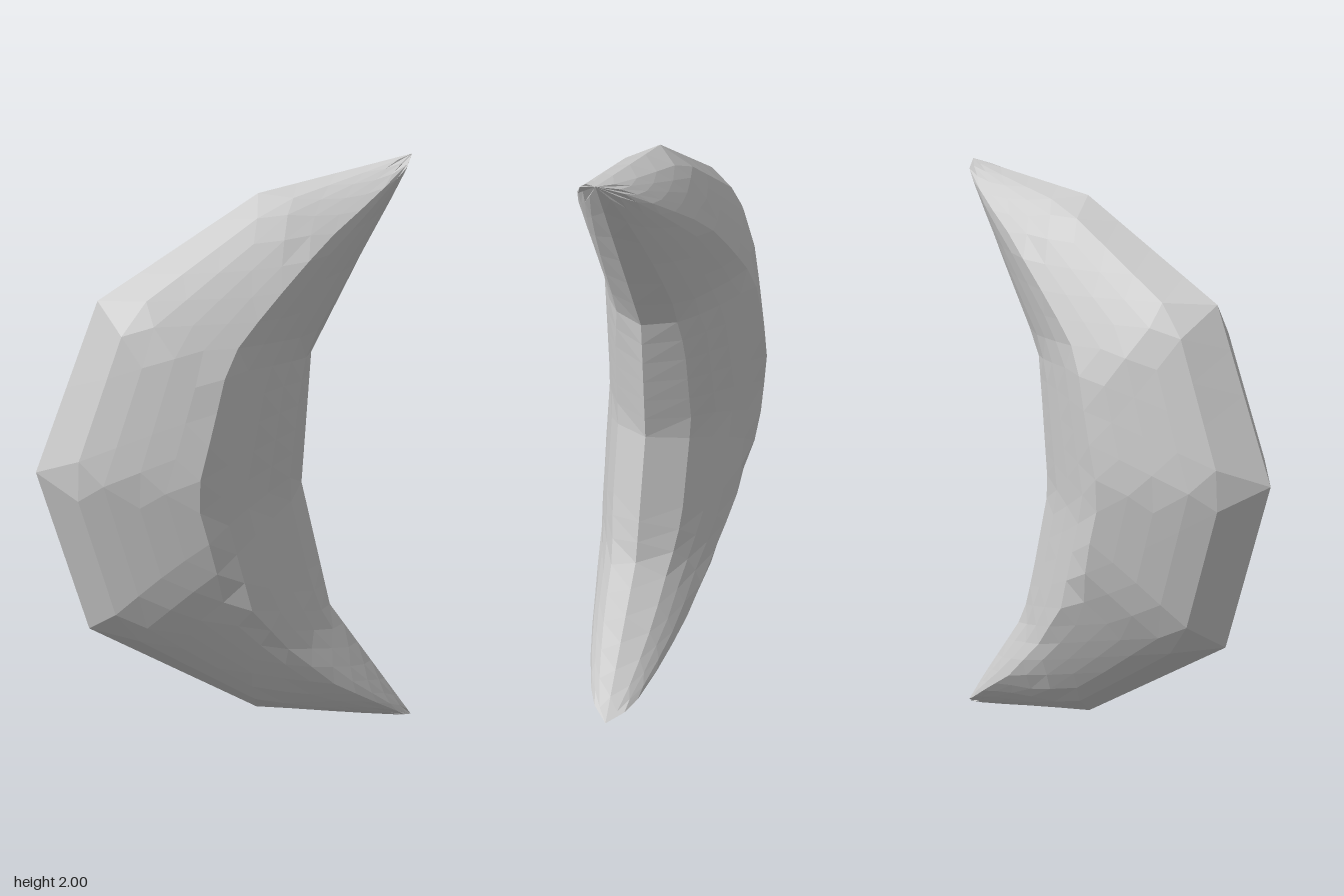
import * as THREE from 'three';

// Crescent outline, both edges running from the lower tip to the upper tip
const OUTER = [[0.67, 0], [0.08, 0.10], [-0.51, 0.45], [-0.675, 1], [-0.46, 1.55], [0.08, 1.88], [0.62, 2]];
const INNER = [[0.67, 0], [0.35, 0.45], [0.24, 0.9], [0.27, 1.35], [0.62, 2]];
const STATIONS = 24; // steps along the crescent
const ROWS = 10; // steps across it
const PUFF = 0.43; // thickness factor

const toVectors = (list) => list.map(([x, y]) => new THREE.Vector2(x, y));
const outer = toVectors(OUTER);
const inner = toVectors(INNER);

// Point on a polyline, u from 0 to 1 with equal shares per segment
function along(line, u) {
  const s = u * (line.length - 1);
  const i = Math.min(Math.floor(s), line.length - 2);
  return line[i].clone().lerp(line[i + 1], s - i);
}

// Distance from a point to the nearest outline segment
function edgeDistance(p) {
  let best = Infinity;
  for (const line of [outer, inner]) {
    for (let i = 0; i < line.length - 1; i++) {
      const ab = line[i + 1].clone().sub(line[i]);
      const t = THREE.MathUtils.clamp(p.clone().sub(line[i]).dot(ab) / ab.lengthSq(), 0, 1);
      best = Math.min(best, p.distanceTo(line[i].clone().addScaledVector(ab, t)));
    }
  }
  return best;
}

// Inflated surface: depth grows with the root of the distance to the rim
function surfacePoint(station, row, side) {
  const u = station / STATIONS;
  const p = along(outer, u).lerp(along(inner, u), row / ROWS);
  const onRim = row === 0 || row === ROWS;
  return [p.x, p.y, onRim ? 0 : side * PUFF * Math.sqrt(edgeDistance(p))];
}

function crescentGeometry() {
  const positions = [];
  for (const side of [1, -1]) {
    for (let j = 0; j < ROWS; j++) {
      // Odd rows are shifted half a step, giving staggered facets
      const even = j % 2 === 0 ? j : j + 1;
      const odd = j % 2 === 0 ? j + 1 : j;
      const flip = (even > odd) !== (side < 0);
      const addTriangle = (a, b, c) => {
        const corners = flip ? [a, c, b] : [a, b, c];
        for (const [station, row] of corners) positions.push(...surfacePoint(station, row, side));
      };
      for (let i = 0; i < STATIONS; i++) {
        addTriangle([i, even], [i + 0.5, odd], [i + 1, even]);
        if (i > 0) addTriangle([i, even], [i - 0.5, odd], [i + 0.5, odd]);
      }
    }
  }
  const geometry = new THREE.BufferGeometry();
  geometry.setAttribute('position', new THREE.Float32BufferAttribute(positions, 3));
  geometry.computeVertexNormals();
  return geometry;
}

export function createModel() {
  const group = new THREE.Group();
  group.name = 'crescent';
  const material = new THREE.MeshStandardMaterial({ color: 0xcccccc, flatShading: true });
  const body = new THREE.Mesh(crescentGeometry(), material);
  body.name = 'crescentBody';
  group.add(body);
  return group;
}
